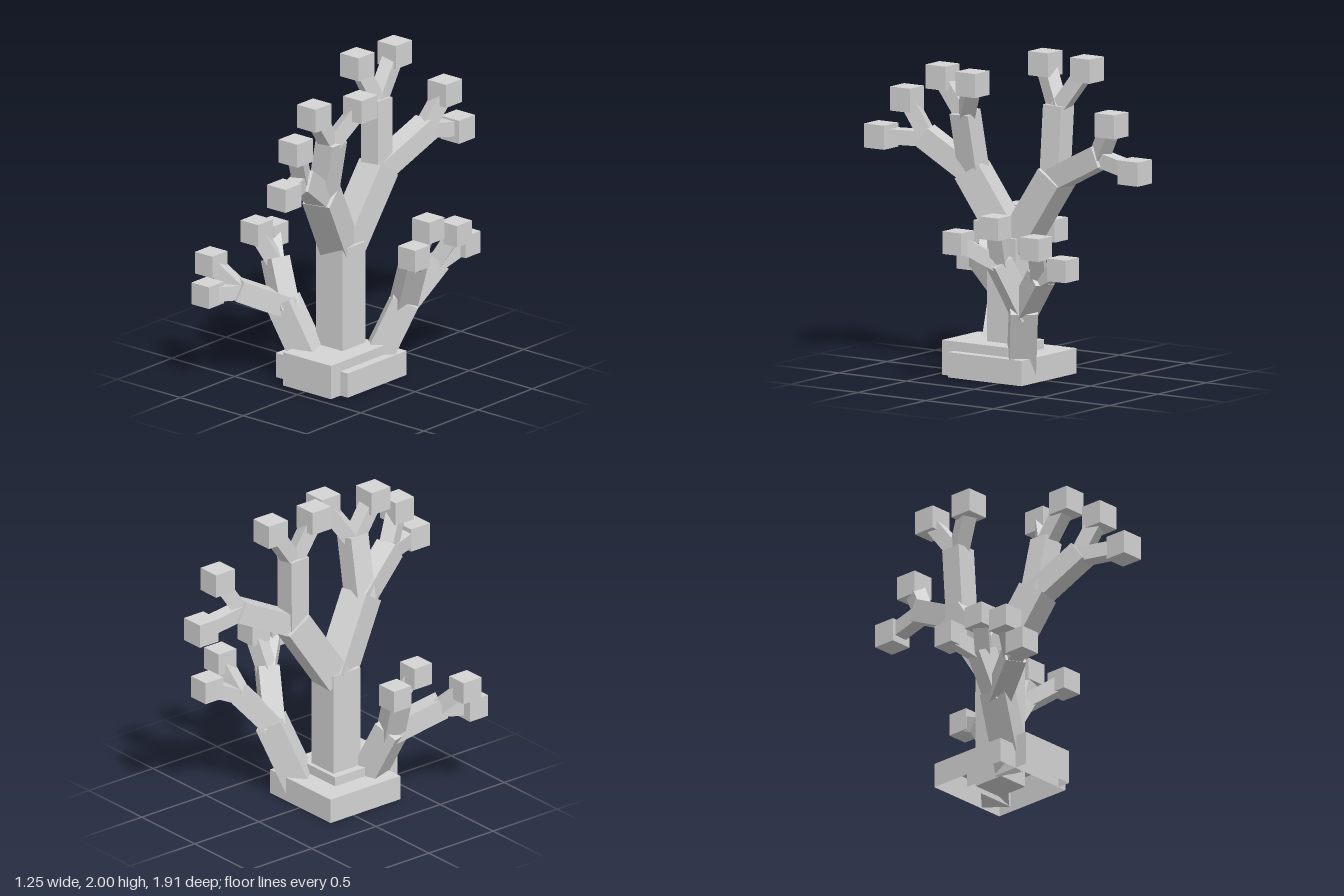
import * as THREE from 'three';

// Double sided because the base is open underneath
const stone = new THREE.MeshStandardMaterial({ color: 0xd4d4d4, side: THREE.DoubleSide });
stone.name = 'light grey';

export function createModel() {
  const model = new THREE.Group();
  model.name = 'branchingCoral';

  const add = (parent, name, geometry) => {
    const mesh = new THREE.Mesh(geometry, stone);
    mesh.name = name;
    parent.add(mesh);
    return mesh;
  };

  // Square beam from a to b, run on a little at both ends so joints interlock
  const beam = (parent, name, a, b, width, before = 0.03, after = 0.03) => {
    const start = new THREE.Vector3(...a), end = new THREE.Vector3(...b);
    const dir = end.clone().sub(start).normalize();
    start.addScaledVector(dir, -before);
    end.addScaledVector(dir, after);
    const mesh = add(parent, name, new THREE.BoxGeometry(width, width, start.distanceTo(end)));
    mesh.position.copy(start).add(end).multiplyScalar(0.5);
    if (dir.y > 0.95) mesh.up.set(0, 0, 1); // keep upright beams square to the front
    mesh.lookAt(end);
  };

  // Base slabs, hollow underneath
  const slab = (name, [x0, x1], [y0, y1], [z0, z1]) => {
    const geometry = new THREE.BoxGeometry(x1 - x0, y1 - y0, z1 - z0);
    const index = Array.from(geometry.index.array);
    index.splice(18, 6); // drop the underside
    geometry.setIndex(index);
    geometry.clearGroups();
    add(model, name, geometry).position.set((x0 + x1) / 2, (y0 + y1) / 2, (z0 + z1) / 2);
  };
  slab('wideBase', [-0.297, 0.273], [0.006, 0.16], [-0.187, 0.357]);
  slab('tallBase', [-0.165, 0.215], [0.006, 0.218], [-0.042, 0.443]);

  // Central trunk
  add(model, 'trunk', new THREE.BoxGeometry(0.21, 0.84, 0.21)).position.set(-0.012, 0.44, 0.09);

  // Each limb: a stem that forks into branches, each ending in two twigs with cube tips
  const limbs = [
    { name: 'frontLimb', stem: [[-0.015, 0.84, 0.1], [0.045, 1.22, 0.325]], sw: 0.18, bw: 0.135, tip: 0.147,
      branches: [
        { end: [0.12, 1.58, 0.335], tips: [[0.13, 1.81, 0.498], [0.239, 1.81, 0.2]] },
        { end: [0.125, 1.42, 0.605], tips: [[0.18, 1.66, 0.725], [0.224, 1.425, 0.884]] },
      ] },
    { name: 'backLimb', stem: [[-0.02, 0.84, 0.03], [-0.005, 1.23, -0.235]], sw: 0.18, bw: 0.135, tip: 0.147,
      branches: [
        { end: [-0.02, 1.66, -0.25], tips: [[-0.063, 1.926, -0.123], [-0.043, 1.922, -0.444]] },
        { end: [0.05, 1.41, -0.6], tips: [[0.106, 1.632, -0.732], [0.077, 1.355, -0.884]] },
      ] },
    { name: 'rightLimb', stem: [[-0.075, 0.065, 0.25], [-0.265, 0.46, 0.31]], sw: 0.165, bw: 0.13, tip: 0.138,
      branches: [
        { end: [-0.36, 0.7, 0.28], tips: [[-0.457, 0.9, 0.347], [-0.507, 0.825, 0.145]] },
        { end: [-0.4, 0.59, 0.56], tips: [[-0.56, 0.755, 0.646], [-0.511, 0.595, 0.736]] },
      ] },
    { name: 'leftLimb', stem: [[0.11, 0.065, -0.07], [0.25, 0.46, -0.185]], sw: 0.165, bw: 0.13, tip: 0.138,
      branches: [
        { end: [0.385, 0.75, -0.115], tips: [[0.557, 0.898, 0.076], [0.48, 1.0, -0.143]] },
        { end: [0.335, 0.68, -0.365], tips: [[0.456, 0.898, -0.425], [0.393, 0.775, -0.578]] },
      ] },
  ];

  for (const { name, stem, sw, bw, tip, branches } of limbs) {
    const limb = new THREE.Group();
    limb.name = name;
    model.add(limb);
    beam(limb, 'stem', stem[0], stem[1], sw);
    for (const { end, tips } of branches) {
      beam(limb, 'branch', stem[1], end, bw);
      for (const at of tips) {
        beam(limb, 'twig', end, at, 0.092, 0.02, -0.02);
        add(limb, 'tipCube', new THREE.BoxGeometry(tip, tip, tip)).position.set(...at);
      }
    }
  }
  return model;
}
